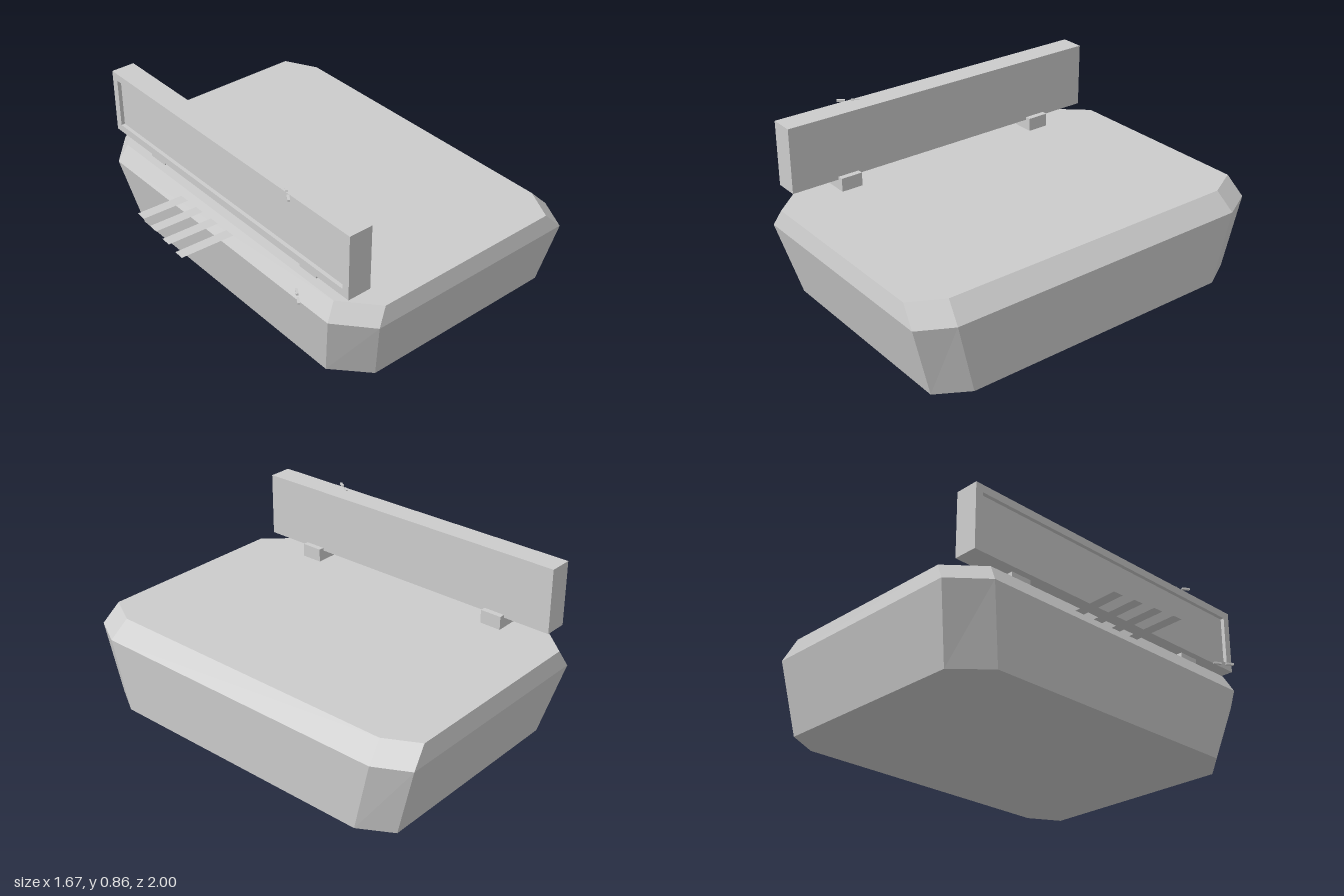
import * as THREE from 'three';

const grey = new THREE.MeshStandardMaterial({ color: 0xcccccc, side: THREE.DoubleSide, flatShading: true });
grey.name = 'plain grey';

// Rectangle with cut corners at height y: x0..x1 by +-z, corner cuts start at xa, xb and +-zc
function ring(y, x0, x1, xa, xb, z, zc) {
  return [[xa, z], [xb, z], [x1, zc], [x1, -zc], [xb, -z], [xa, -z], [x0, -zc], [x0, zc]]
    .map(([px, pz]) => [px, y, pz]);
}

// Solid skinned through rings, closed at both ends
function loft(rings) {
  const pos = [];
  const n = rings[0].length;
  const tri = (a, b, c) => pos.push(...a, ...b, ...c);
  for (let r = 0; r < rings.length - 1; r++) {
    const lo = rings[r], hi = rings[r + 1];
    for (let i = 0; i < n; i++) {
      const j = (i + 1) % n;
      tri(lo[i], lo[j], hi[j]);
      tri(lo[i], hi[j], hi[i]);
    }
  }
  const bottom = rings[0], top = rings[rings.length - 1];
  for (let i = 1; i < n - 1; i++) {
    tri(bottom[0], bottom[i + 1], bottom[i]);
    tri(top[0], top[i], top[i + 1]);
  }
  const g = new THREE.BufferGeometry();
  g.setAttribute('position', new THREE.Float32BufferAttribute(pos, 3));
  g.computeVertexNormals();
  return g;
}

export function createModel() {
  const model = new THREE.Group();
  model.name = 'consoleWithPanel';

  const add = (name, geometry, x = 0, y = 0, z = 0, parent = model) => {
    const mesh = new THREE.Mesh(geometry, grey);
    mesh.name = name;
    mesh.position.set(x, y, z);
    parent.add(mesh);
    return mesh;
  };
  const box = (w, h, d) => new THREE.BoxGeometry(w, h, d);

  // Tapered base with bevelled rim
  add('base', loft([
    ring(0, -0.51, 0.82, -0.355, 0.725, 0.905, 0.74),
    ring(0.37, -0.58, 0.83, -0.43, 0.74, 1, 0.83),
    ring(0.46, -0.53, 0.74, -0.38, 0.65, 0.98, 0.81),
  ]));

  // Upright panel with a recessed face on the -x side
  const panel = new THREE.Group();
  panel.name = 'panel';
  panel.position.set(0, 0.684, 0);
  model.add(panel);
  add('panelBody', box(0.105, 0.338, 1.8), -0.4525, 0, 0, panel);
  const frame = new THREE.Shape([[-0.9, -0.169], [0.9, -0.169], [0.9, 0.169], [-0.9, 0.169]]
    .map(([a, b]) => new THREE.Vector2(a, b)));
  frame.holes.push(new THREE.Path([[-0.86, -0.13], [-0.86, 0.13], [0.86, 0.13], [0.86, -0.13]]
    .map(([a, b]) => new THREE.Vector2(a, b))));
  add('panelFrame', new THREE.ExtrudeGeometry(frame, { depth: 0.02, bevelEnabled: false }),
    -0.505, 0, 0, panel).rotation.y = -Math.PI / 2;

  // Hinge blocks under the panel
  for (const side of [-1, 1]) {
    add('hinge', box(0.12, 0.08, 0.115), -0.43, 0.49, side * 0.588);
  }

  // Flat tabs reaching out over the -x rim
  for (let i = 0; i < 4; i++) {
    const inner = -0.53, outer = -0.798 - i * 0.012;
    const tab = add('tab', new THREE.PlaneGeometry(inner - outer, 0.055).rotateX(-Math.PI / 2),
      (inner + outer) / 2, 0.422, -0.283 + i * 0.122);
    tab.rotation.y = -0.05;
  }

  // Two rows of tiny slanted dashes
  for (const [x, y, z] of [[-0.648, 0.458, 0.713], [-0.613, 0.458, 0.66],
    [-0.545, 0.852, 0.523], [-0.508, 0.852, 0.463]]) {
    add('dash', box(0.04, 0.01, 0.012), x, y, z).rotation.y = 1.0;
  }

  return model;
}
